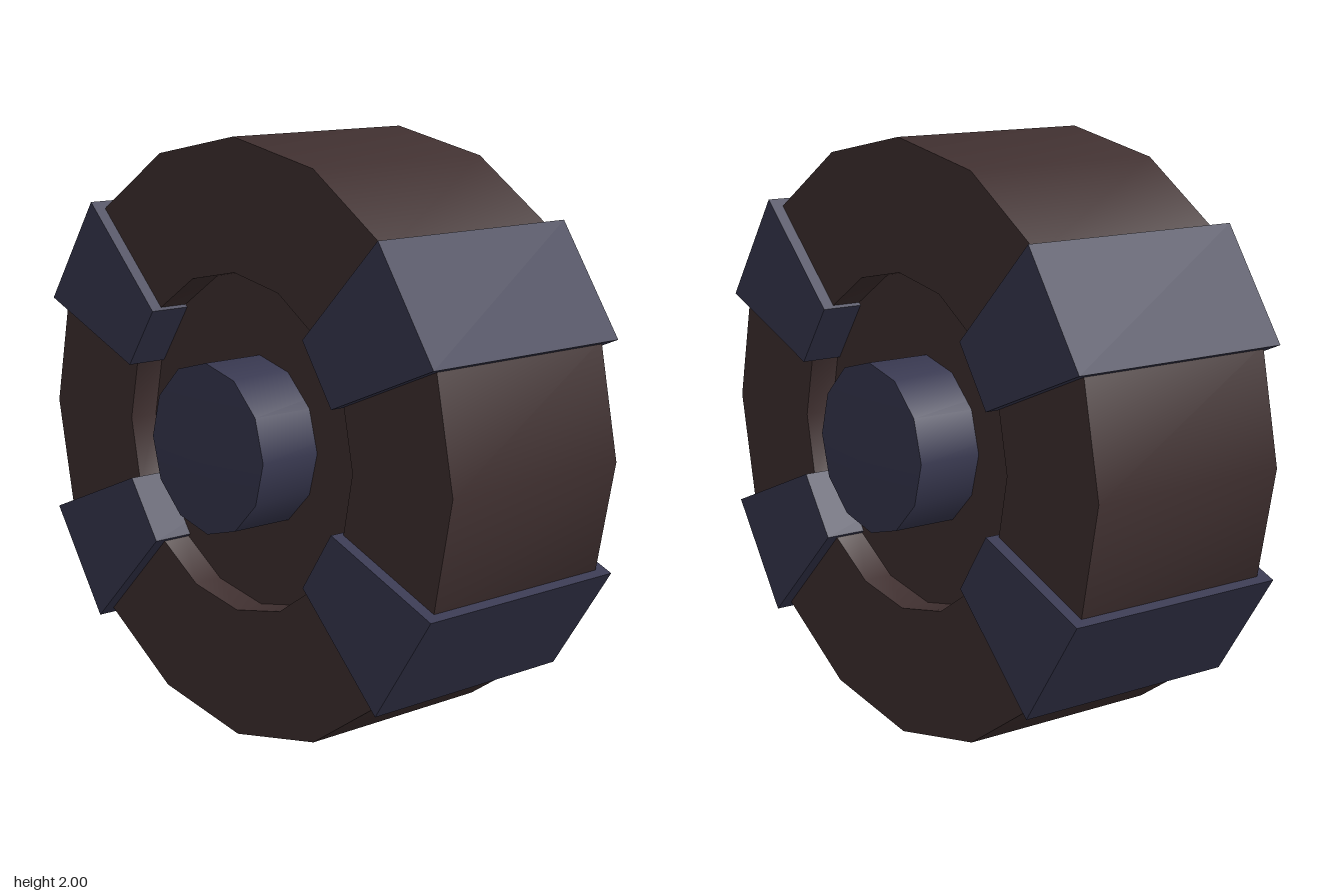
import * as THREE from 'three';
import { toCreasedNormals } from 'three/addons/utils/BufferGeometryUtils.js';

const rubber = new THREE.MeshStandardMaterial({ color: 0x403030 });
rubber.name = 'dark brown';
const metal = new THREE.MeshStandardMaterial({ color: 0x383850 });
metal.name = 'slate blue';

// Revolves [radius, x] points around the x axis, smooth around and sharp at rims
function revolve(points, sides) {
  const profile = points.map(([r, x]) => new THREE.Vector2(r, x));
  const geometry = new THREE.LatheGeometry(profile, sides);
  geometry.rotateZ(-Math.PI / 2);
  return toCreasedNormals(geometry, 0.6);
}

function addPart(parent, name, geometry, material) {
  const mesh = new THREE.Mesh(geometry, material);
  mesh.name = name;
  parent.add(mesh);
  return mesh;
}

export function createModel() {
  const model = new THREE.Group();
  model.name = 'wheel';
  const wheel = new THREE.Group();
  wheel.name = 'wheelAssembly';
  wheel.position.y = 1;
  model.add(wheel);

  // Sixteen-sided tyre with a shallow round recess on both sides
  addPart(wheel, 'tyre', revolve([
    [0, -0.26], [0.565, -0.26], [0.565, -0.365], [1, -0.365],
    [1, 0.365], [0.565, 0.365], [0.565, 0.26], [0, 0.26],
  ], 16), rubber);

  // Axle hub with slightly pointed caps
  addPart(wheel, 'hub', revolve([
    [0, -0.53], [0.284, -0.487], [0.284, 0.487], [0, 0.53],
  ], 12), metal);

  // Four tapered clamps wrapped across the tread
  const outline = new THREE.Shape([
    new THREE.Vector2(0.537, -0.12), new THREE.Vector2(1.007, -0.215),
    new THREE.Vector2(1.007, 0.215), new THREE.Vector2(0.537, 0.12),
  ]);
  const width = 0.815;
  const clamp = new THREE.ExtrudeGeometry(outline, { depth: width, bevelEnabled: false });
  clamp.translate(0, 0, -width / 2);
  clamp.rotateY(Math.PI / 2);
  const tilt = Math.PI * 3 / 16;
  [tilt, -tilt, Math.PI + tilt, Math.PI - tilt].forEach((angle, i) => {
    addPart(wheel, `clamp${i + 1}`, clamp, metal).rotation.x = angle;
  });

  return model;
}
